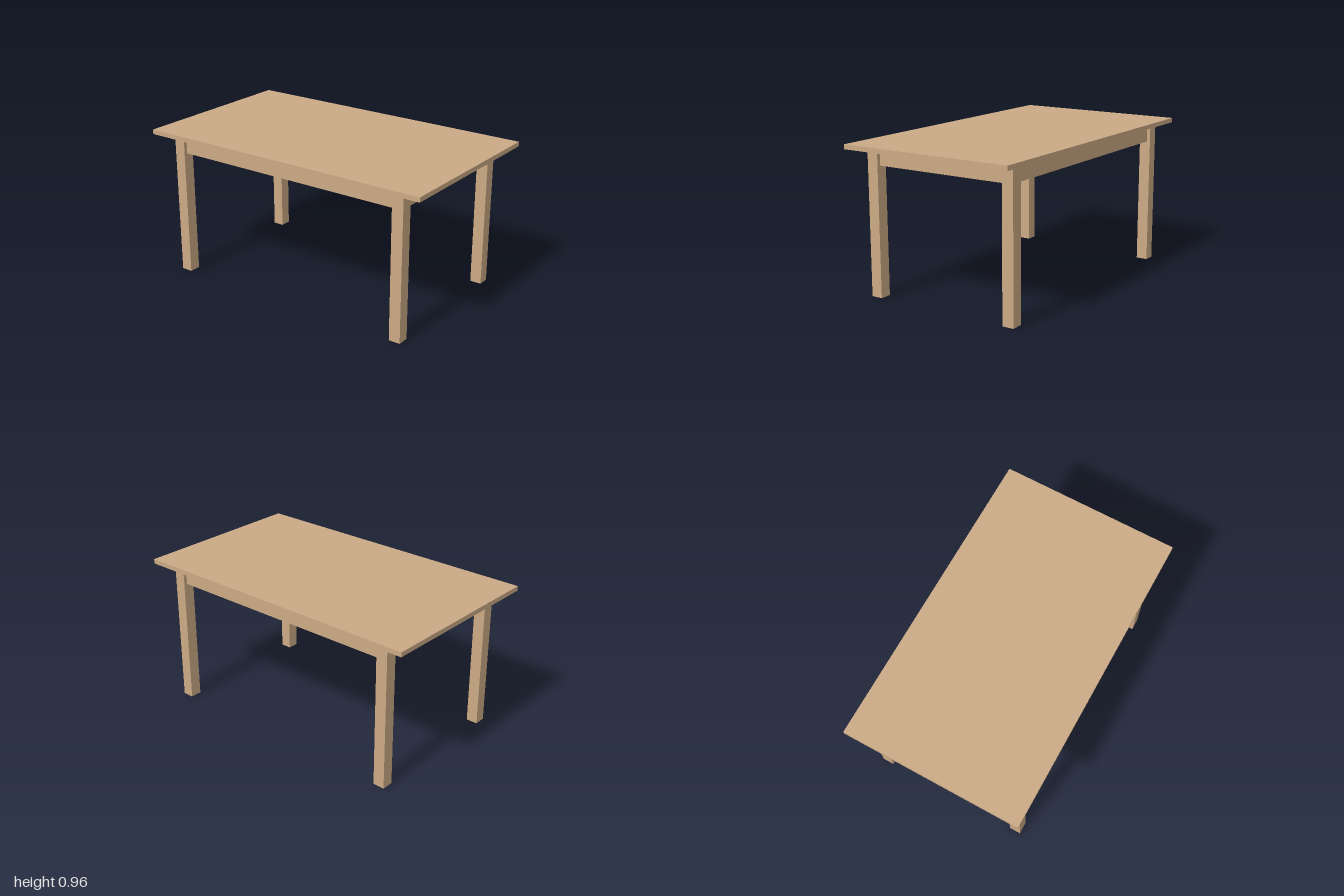
import * as THREE from 'three';

const wood = new THREE.MeshStandardMaterial({ color: 0xcbaa85 });

// Box given by its size and centre, standing on height y0
function board(name, w, h, d, x, y0, z) {
  const mesh = new THREE.Mesh(new THREE.BoxGeometry(w, h, d), wood);
  mesh.name = name;
  mesh.position.set(x, y0 + h / 2, z);
  return mesh;
}

export function createModel() {
  const table = new THREE.Group();
  table.name = 'table';

  const legX = 0.825, legZ = 0.485, legSize = 0.075;
  const topY = 0.933, apronY = 0.823, apronThick = 0.028;

  // Table top
  table.add(board('tableTop', 2, 0.03, 1.16, 0, topY, 0));

  // Square legs at the four corners
  for (const [sx, side] of [[1, 'Left'], [-1, 'Right']])
    for (const [sz, end] of [[1, 'front'], [-1, 'back']])
      table.add(board(`${end}${side}Leg`, legSize, 0.93, legSize, sx * legX, 0, sz * legZ));

  // Aprons centred on the legs, running between them under the top
  const apronH = topY - apronY;
  for (const s of [1, -1]) {
    table.add(board(s > 0 ? 'frontApron' : 'backApron',
      2 * legX, apronH, apronThick, 0, apronY, s * legZ));
    table.add(board(s > 0 ? 'leftApron' : 'rightApron',
      apronThick, apronH, 2 * legZ - legSize, s * legX, apronY, 0));
  }

  return table;
}
